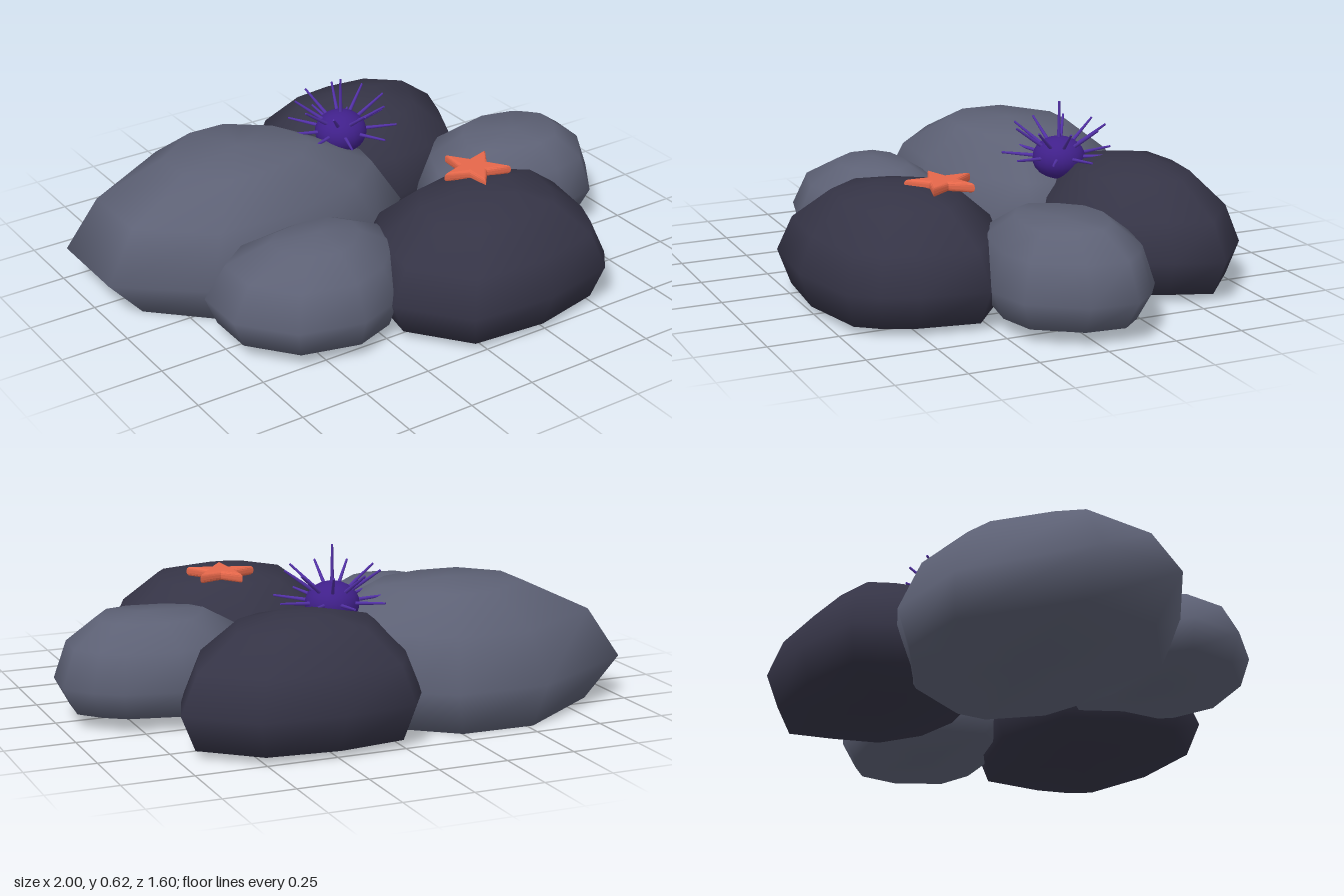
import * as THREE from 'three';

const mat = (name, color) => {
  const m = new THREE.MeshStandardMaterial({ color });
  m.name = name;
  return m;
};

// Boulder: plan outline [x, z] scaled about its centre by a [height, x scale, z scale] profile
function rockGeometry(outline, [cx, cz], y0, y1, profile) {
  const n = outline.length, pos = [], idx = [];
  for (const [h, sx, sz = sx] of profile)
    for (const [x, z] of outline)
      pos.push(cx + (x - cx) * sx, y0 + (y1 - y0) * h, cz + (z - cz) * sz);
  const bottom = pos.length / 3, top = bottom + 1, last = (profile.length - 1) * n;
  pos.push(cx, y0, cz, cx, y1, cz);
  for (let i = 0; i < n; i++) {
    const j = (i + 1) % n;
    for (let r = 0; r < last; r += n)
      idx.push(r + j, r + i, r + n + i, r + j, r + n + i, r + n + j);
    idx.push(last + j, last + i, top, i, j, bottom);
  }
  const g = new THREE.BufferGeometry();
  g.setAttribute('position', new THREE.Float32BufferAttribute(pos, 3));
  g.setIndex(idx);
  g.computeVertexNormals();
  return g;
}

export function createModel() {
  const group = new THREE.Group();
  const light = mat('greyStone', 0x5d6175);
  const dark = mat('darkStone', 0x353446);
  const purple = mat('urchinPurple', 0x40208a);
  const violet = mat('spineViolet', 0x5230a6);
  const orange = mat('starfishOrange', 0xe5674a);
  const add = (parent, name, geometry, material) => {
    const m = new THREE.Mesh(geometry, material);
    m.name = name;
    parent.add(m);
    return m;
  };

  // Rocks, outlines running left, back, right, front
  const domed = [[0, 0.89], [0.31, 1], [0.63, 0.87], [0.91, 0.55], [0.985, 0.24]];
  const blocky = [[0, 0.84], [0.31, 1], [0.72, 0.86], [0.97, 0.53]];
  const broad = [[0, 0.9], [0.32, 1], [0.71, 0.82], [0.93, 0.44]];
  const massive = [[0, 0.79, 0.93], [0.32, 1], [0.71, 0.81, 0.83], [0.96, 0.42, 0.5]];
  const rocks = [
    ['largeBackLeftRock', light, [-0.38, -0.28], 0, 0.465, massive,
      [[-1, -0.12], [-1, -0.45], [-0.56, -0.71], [-0.22, -0.705], [-0.09, -0.62], [0.12, -0.48],
        [0.24, -0.22], [0.22, -0.1], [0.02, 0.06], [-0.35, 0.14], [-0.71, 0.12]]],
    ['backRightRock', dark, [0.25, -0.46], 0.025, 0.435, domed,
      [[-0.2, -0.4], [-0.12, -0.62], [-0.03, -0.765], [0.24, -0.8], [0.53, -0.77], [0.74, -0.59],
        [0.68, -0.42], [0.6, -0.24], [0.43, -0.14], [0.24, -0.12], [0, -0.18]]],
    ['frontRock', dark, [0.23, 0.42], 0.025, 0.42, domed,
      [[-0.25, 0.54], [-0.21, 0.3], [-0.08, 0.1], [0.24, 0.03], [0.5, 0.13], [0.69, 0.28],
        [0.65, 0.52], [0.6, 0.64], [0.53, 0.73], [0.24, 0.795], [-0.07, 0.77]]],
    ['frontLeftRock', light, [-0.38, 0.28], 0.05, 0.365, broad,
      [[-0.765, 0.34], [-0.765, 0.14], [-0.62, 0.03], [-0.38, 0], [-0.15, 0.04], [-0.03, 0.19],
        [-0.06, 0.36], [-0.22, 0.52], [-0.39, 0.58], [-0.62, 0.52]]],
    ['rightRock', light, [0.66, 0.01], 0.05, 0.37, blocky,
      [[0.24, 0.04], [0.32, -0.14], [0.44, -0.27], [0.62, -0.31], [0.83, -0.26], [0.92, -0.2],
        [1, -0.11], [0.985, 0.06], [0.86, 0.24], [0.7, 0.28], [0.45, 0.24], [0.3, 0.15]]],
  ];
  for (const [name, material, centre, y0, y1, profile, outline] of rocks)
    add(group, name, rockGeometry(outline, centre, y0, y1, profile), material);

  // Sea urchin: squat body with rings of spines
  const urchin = new THREE.Group();
  urchin.name = 'seaUrchin';
  urchin.position.set(0.066, 0.405, -0.275);
  group.add(urchin);
  add(urchin, 'urchinBody', new THREE.SphereGeometry(0.097, 20, 14), purple).scale.y = 0.82;
  const spine = new THREE.CylinderGeometry(0.004, 0.009, 0.2, 8).translate(0, 0.11, 0);
  const up = new THREE.Vector3(0, 1, 0);
  const rings = [[90, 1, 0], [36, 9, 0.2], [6, 9, 0.55]]; // elevation, count, start angle
  for (const [elevation, count, start] of rings)
    for (let i = 0; i < count; i++) {
      const e = THREE.MathUtils.degToRad(elevation);
      const a = start + (i / count) * Math.PI * 2;
      const dir = new THREE.Vector3(Math.cos(e) * Math.cos(a), Math.sin(e), Math.cos(e) * Math.sin(a));
      add(urchin, 'urchinSpine', spine, violet).quaternion.setFromUnitVectors(up, dir);
    }

  // Starfish lying flat, one arm pointing to -x
  const star = new THREE.Shape();
  for (let i = 0; i < 10; i++) {
    const a = Math.PI + (i * Math.PI) / 5, r = i % 2 ? 0.042 : 0.114;
    star[i ? 'lineTo' : 'moveTo'](r * Math.cos(a), r * Math.sin(a));
  }
  star.closePath();
  const starGeometry = new THREE.ExtrudeGeometry(star, {
    depth: 0.01, bevelThickness: 0.012, bevelSize: 0.012, bevelSegments: 3,
  });
  starGeometry.rotateX(-Math.PI / 2);
  add(group, 'starfish', starGeometry, orange).position.set(0.277, 0.415, 0.28);

  return group;
}
